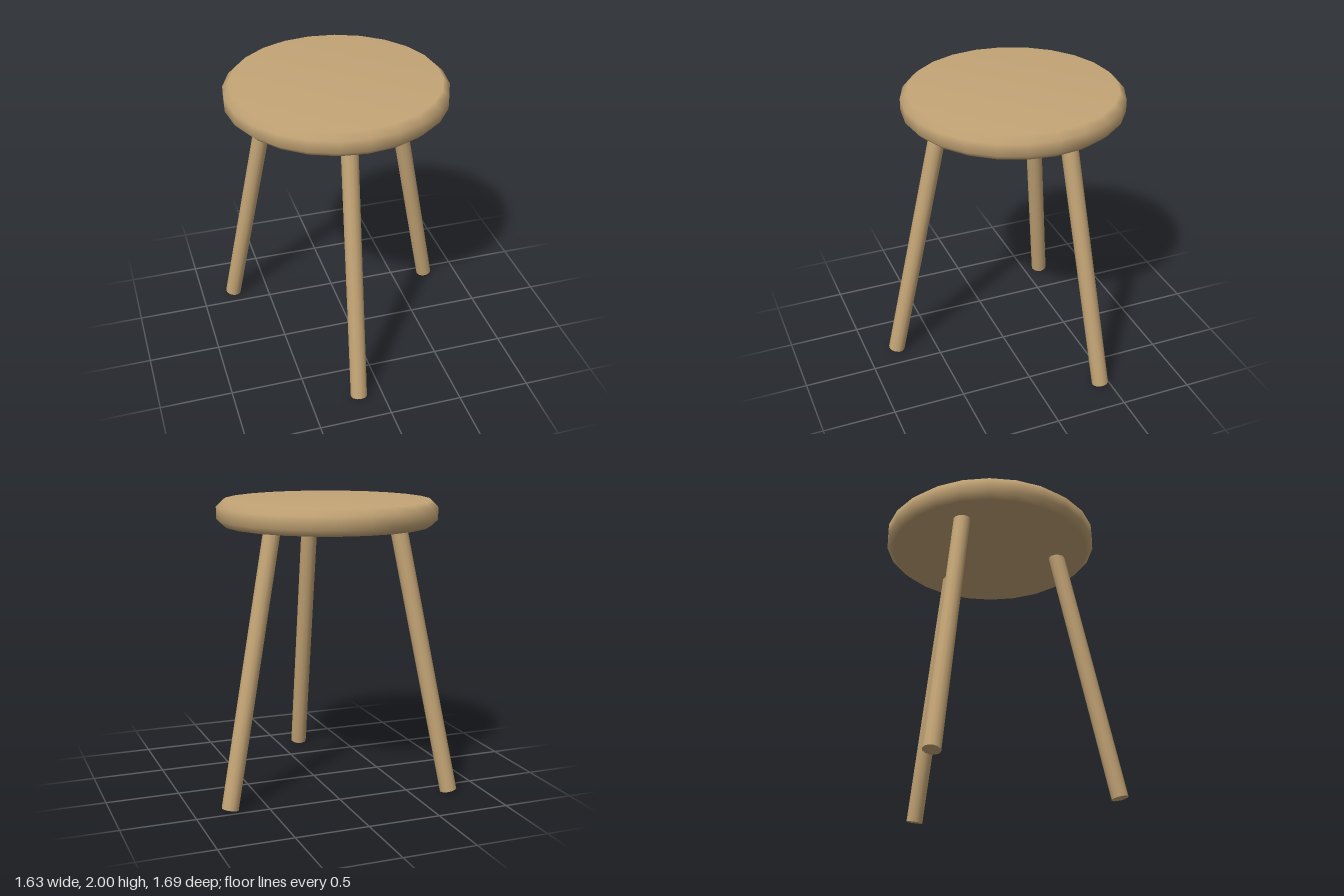
import * as THREE from 'three';

export function createModel() {
  const group = new THREE.Group();
  const wood = new THREE.MeshStandardMaterial({ color: 0xc4a576 });
  wood.name = 'wood';

  // Round seat with chamfered rims, smooth shaded
  const profile = [[0, 1.83], [0.705, 1.83], [0.75, 1.873], [0.75, 1.957], [0.705, 2], [0, 2]]
    .map(([r, y]) => new THREE.Vector2(r, y));
  const seat = new THREE.Mesh(new THREE.LatheGeometry(profile, 24), wood);
  seat.name = 'seat';
  seat.position.set(-0.06, 0, -0.095);
  group.add(seat);

  // Splayed round legs: foot centre, then centre where the leg meets the seat
  const up = new THREE.Vector3(0, 1, 0);
  const addLeg = (name, foot, top) => {
    const a = new THREE.Vector3(...foot);
    const dir = new THREE.Vector3(...top).sub(a);
    const length = dir.length() + 0.03; // runs slightly into the seat
    dir.normalize();
    const geometry = new THREE.CylinderGeometry(0.058, 0.058, length, 12);
    geometry.translate(0, length / 2, 0);
    const leg = new THREE.Mesh(geometry, wood);
    leg.name = name;
    leg.position.copy(a);
    leg.quaternion.setFromUnitVectors(up, dir);
    group.add(leg);
  };
  addLeg('frontLeg', [-0.166, 0.012, 0.784], [-0.12, 1.83, 0.397]);
  addLeg('backRightLeg', [-0.762, 0.012, -0.624], [-0.452, 1.83, -0.397]);
  addLeg('backLeftLeg', [0.755, 0.012, -0.434], [0.397, 1.83, -0.286]);

  return group;
}
